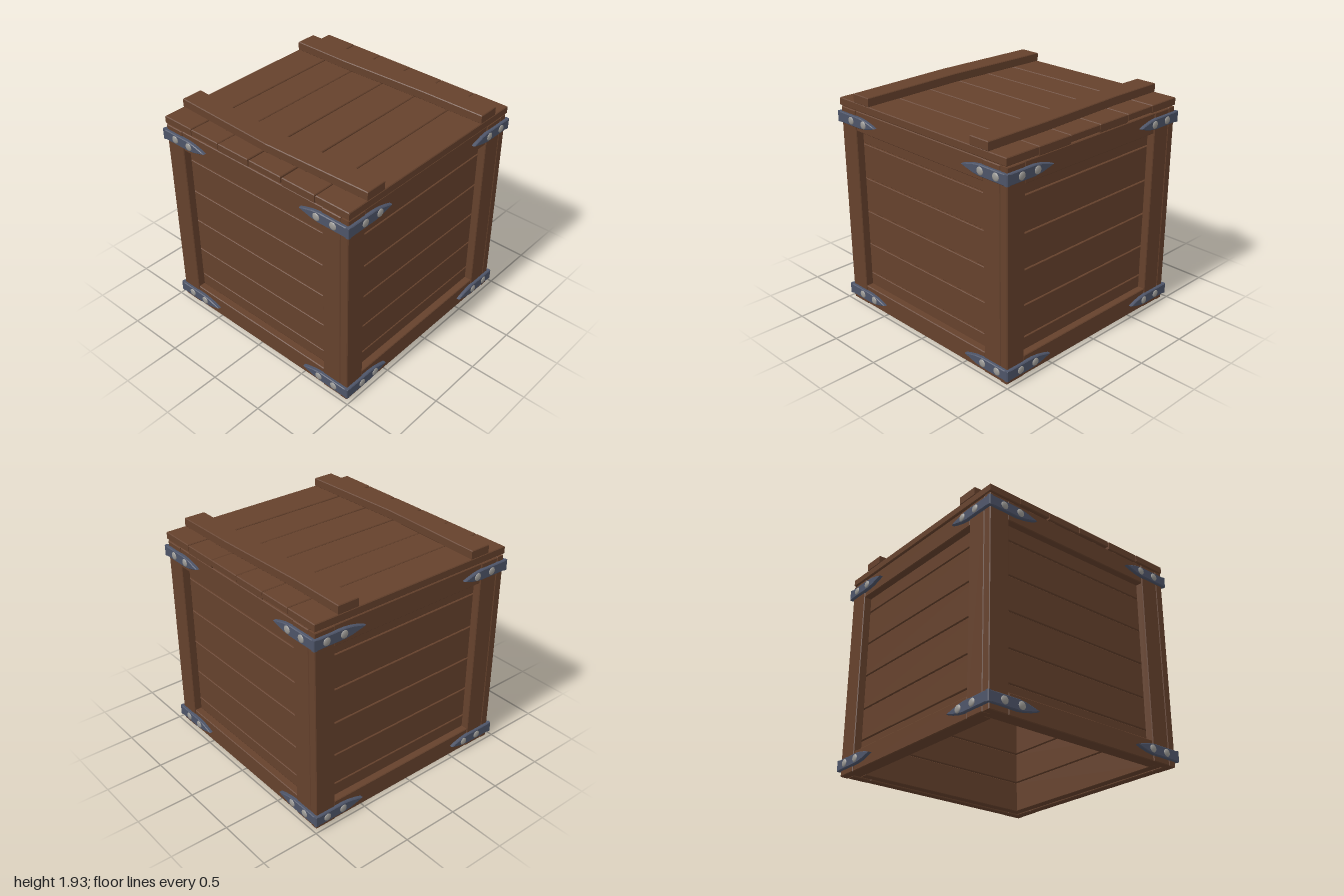
import * as THREE from 'three';

const wood = new THREE.MeshStandardMaterial({ color: 0x65412c, flatShading: true });
const iron = new THREE.MeshStandardMaterial({ color: 0x4d5468, flatShading: true });
const steel = new THREE.MeshStandardMaterial({ color: 0x9a9894 });

// Outline extruded from z = 0 to z = depth, with chamfered edges kept inside it
function slab(points, depth, bevel) {
  const shape = new THREE.Shape(points.map(([x, y]) => new THREE.Vector2(x, y)));
  const geometry = new THREE.ExtrudeGeometry(shape, {
    depth: depth - 2 * bevel, bevelEnabled: true, bevelThickness: bevel,
    bevelSize: bevel, bevelOffset: -bevel, bevelSegments: 1, curveSegments: 1,
  });
  return geometry.translate(0, 0, bevel);
}

function add(parent, name, geometry, material) {
  const mesh = new THREE.Mesh(geometry, material);
  mesh.name = name;
  parent.add(mesh);
  return mesh;
}

// Upright board facing +z
function board(parent, name, x0, x1, y0, y1, z0, z1, bevel = 0.006) {
  const outline = [[x0, y0], [x1, y0], [x1, y1], [x0, y1]];
  add(parent, name, slab(outline, z1 - z0, bevel).translate(0, 0, z0), wood);
}

// Flat board, outline given as x, z
function flatBoard(parent, name, outline, bottom, top) {
  const geometry = slab(outline, top - bottom, 0.006).rotateX(Math.PI / 2);
  add(parent, name, geometry.translate(0, top, 0), wood);
}

// One wall: each wall overlaps the end of the next, pinwheel fashion
function createWall() {
  const wall = new THREE.Group();
  board(wall, 'post', -0.963, -0.78, 0, 1.78, 0.89, 0.963);
  board(wall, 'post', 0.712, 0.89, 0, 1.78, 0.89, 0.963);
  board(wall, 'bottomRail', -0.78, 0.712, 0, 0.175, 0.89, 0.958);
  board(wall, 'topRail', -0.78, 0.712, 1.605, 1.78, 0.89, 0.958);
  const joints = [0.005, 0.282, 0.563, 0.869, 1.174, 1.48, 1.78];
  for (let i = 0; i < 6; i++) {
    board(wall, 'slat', -0.885, 0.812, joints[i] + 0.005, joints[i + 1] - 0.005, 0.815, 0.888, 0.004);
  }
  return wall;
}

// Pointed iron strap on the +z face, with its square end at x = 0.988
function createStrap(rivetShift) {
  const strap = new THREE.Group();
  const upper = [[0.7, 0.045], [0.63, 0.036], [0.56, 0.018]];
  const outline = [
    [0.988, -0.045], [0.988, 0.045], ...upper, [0.508, 0],
    ...upper.map(([x, y]) => [x, -y]).reverse(),
  ];
  add(strap, 'strap', slab(outline.reverse(), 0.035, 0.006).translate(0, 0, 0.953), iron);
  for (const x of [0.68, 0.84]) {
    const dome = new THREE.SphereGeometry(0.034, 16, 6, 0, Math.PI * 2, 0, Math.PI / 2);
    const rivet = add(strap, 'rivet', dome.scale(1, 0.4, 1).rotateX(Math.PI / 2), steel);
    rivet.position.set(x + rivetShift, 0, 0.986);
  }
  return strap;
}

export function createModel() {
  const crate = new THREE.Group();
  crate.name = 'crate';

  // Four walls, open below
  ['frontWall', 'rightWall', 'backWall', 'leftWall'].forEach((name, i) => {
    const wall = createWall();
    wall.name = name;
    wall.rotation.y = i * Math.PI / 2;
    crate.add(wall);
  });

  // Corner brackets: two straps per corner, at the bottom and the top
  for (const y of [0.09, 1.695]) {
    for (let face = 0; face < 4; face++) {
      for (const end of [-1, 1]) {
        // Rivets on the two side faces sit a little further back
        const backward = face === 1 ? end : face === 3 ? -end : 0;
        const strap = createStrap(0.033 * backward);
        strap.name = 'cornerStrap';
        strap.scale.x = end;
        strap.position.y = y;
        const turn = new THREE.Group();
        turn.name = 'cornerBracket';
        turn.rotation.y = face * Math.PI / 2;
        turn.add(strap);
        crate.add(turn);
      }
    }
  }

  // Lid boards: x at back left, back right, front right, front left, then bottom and top
  const lid = new THREE.Group();
  lid.name = 'lid';
  crate.add(lid);
  [
    [-0.965, -0.662, -0.662, -0.965, 1.79, 1.856],
    [-0.655, -0.357, -0.357, -0.655, 1.798, 1.855],
    [-0.352, -0.026, -0.03, -0.352, 1.786, 1.855],
    [-0.022, 0.308, 0.308, -0.018, 1.795, 1.855],
    [0.31, 0.642, 0.645, 0.322, 1.782, 1.855],
    [0.648, 0.972, 0.972, 0.655, 1.79, 1.857],
  ].forEach(([a, b, c, d, bottom, top]) => {
    flatBoard(lid, 'lidBoard', [[a, -0.965], [b, -0.965], [c, 0.965], [d, 0.965]], bottom, top);
  });

  // Slightly crooked battens across the lid
  const battens = {
    frontBatten: [[-0.965, 0.583], [0, 0.617], [0.972, 0.583], [0.972, 0.772], [0, 0.806], [-0.965, 0.772]],
    backBatten: [[-0.965, -0.753], [-0.45, -0.75], [0.4, -0.78], [0.972, -0.785],
      [0.972, -0.595], [0.4, -0.592], [-0.45, -0.562], [-0.965, -0.565]],
  };
  for (const [name, outline] of Object.entries(battens)) {
    flatBoard(lid, name, outline, 1.853, 1.93);
  }
  return crate;
}
